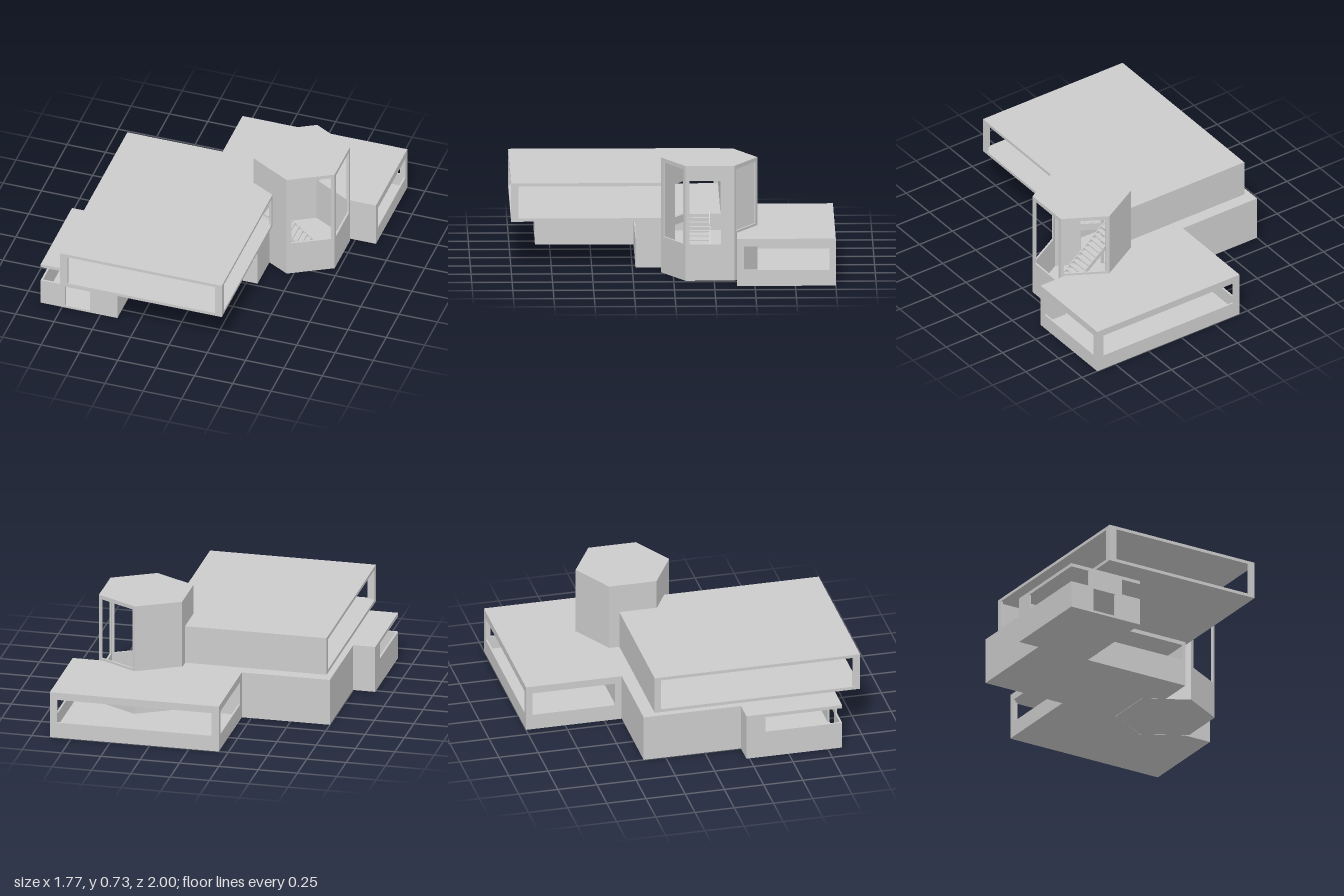
import * as THREE from 'three';

const mat = new THREE.MeshStandardMaterial({ color: 0xcccccc, flatShading: true, side: THREE.DoubleSide });

function add(parent, name, geometry) {
  const mesh = new THREE.Mesh(geometry, mat);
  mesh.name = name;
  parent.add(mesh);
  return mesh;
}

// Horizontal slab from an [x, z] outline, between two heights
function slab(parent, name, outline, y0, y1) {
  const shape = new THREE.Shape(outline.map(([x, z]) => new THREE.Vector2(x, -z)));
  const geo = new THREE.ExtrudeGeometry(shape, { depth: y1 - y0, bevelEnabled: false });
  add(parent, name, geo.rotateX(-Math.PI / 2).translate(0, y0, 0));
}

// Wall whose outer face runs from a to b; holes are [u0, u1, y0, y1], u measured from a
function wall(parent, name, a, b, y0, y1, holes = [], t = 0.012) {
  const dx = b[0] - a[0], dz = b[1] - a[1];
  const rect = (S, u0, u1, v0, v1) => new S([[u0, v0], [u1, v0], [u1, v1], [u0, v1]].map((p) => new THREE.Vector2(...p)));
  const shape = rect(THREE.Shape, 0, Math.hypot(dx, dz), y0, y1);
  shape.holes = holes.map((h) => rect(THREE.Path, ...h));
  const geo = new THREE.ExtrudeGeometry(shape, { depth: t, bevelEnabled: false }).translate(0, 0, -t);
  const mesh = add(parent, name, geo);
  mesh.position.set(a[0], 0, a[1]);
  mesh.rotation.y = Math.atan2(-dz, dx);
}

function part(root, name) {
  const g = new THREE.Group();
  g.name = name;
  root.add(g);
  return g;
}

export function createModel() {
  const root = new THREE.Group();
  root.name = 'house';

  // Ground floor main room
  const main = part(root, 'groundFloor');
  const mainPlan = [[-0.75, 0.23], [0.32, 0.23], [0.32, 0], [0.19, -0.07], [0.19, -0.39], [-0.75, -0.39]];
  slab(main, 'groundFloorBase', mainPlan, 0, 0.015);
  slab(main, 'groundFloorRoof', mainPlan, 0.275, 0.297);
  wall(main, 'frontWall', [-0.39, 0.23], [0.32, 0.23], 0, 0.297, [[0.045, 0.69, 0.172, 0.272]]);
  wall(main, 'innerFrontWall', [-0.75, 0.23], [-0.67, 0.23], 0, 0.297);
  wall(main, 'rightWall', [0.32, 0.23], [0.32, 0], 0, 0.297);
  wall(main, 'backWall', [0.22, -0.39], [-0.75, -0.39], 0, 0.297);
  wall(main, 'leftWall', [-0.75, -0.39], [-0.75, 0.23], 0, 0.297);

  // Entrance wing: low walls, open corner windows, roof slab
  const entry = part(root, 'entranceWing');
  const entryPlan = [[-0.89, 0.84], [-0.39, 0.84], [-0.39, 0.23], [-0.89, 0.23]];
  slab(entry, 'entranceBase', entryPlan, 0, 0.015);
  slab(entry, 'entranceRoof', entryPlan, 0.275, 0.297);
  wall(entry, 'entranceFront', [-0.89, 0.84], [-0.39, 0.84], 0, 0.174, [[0.16, 0.32, 0.015, 0.162]]);
  wall(entry, 'entrancePier', [-0.76, 0.84], [-0.52, 0.84], 0.174, 0.275);
  for (const [name, x, dir] of [['Right', -0.39, 1], ['Left', -0.89, -1]]) {
    const run = (z0, z1) => (dir > 0 ? [[x, z0], [x, z1]] : [[x, z1], [x, z0]]);
    wall(entry, 'entranceLow' + name, ...run(0.84, 0.23), 0, 0.174);
    wall(entry, 'entranceHigh' + name, ...run(0.35, 0.23), 0.174, 0.275);
  }
  wall(entry, 'entranceBack', [-0.75, 0.23], [-0.89, 0.23], 0, 0.297);

  // Overhanging upper storey with ribbon windows on three sides
  const upper = part(root, 'upperFloor');
  const upperPlan = [[-0.71, 1], [0.345, 1], [0.345, 0.014], [0.19, -0.07], [0.19, -0.31], [-0.71, -0.31]];
  slab(upper, 'upperBase', upperPlan, 0.298, 0.318);
  slab(upper, 'upperRoof', upperPlan, 0.52, 0.54);
  wall(upper, 'upperFront', [-0.71, 1], [0.345, 1], 0.298, 0.54, [[0.05, 1.01, 0.318, 0.52]]);
  wall(upper, 'upperRight', [0.345, 1], [0.345, 0.014], 0.298, 0.54, [[0.045, 0.965, 0.318, 0.52]]);
  wall(upper, 'upperBack', [0.19, -0.31], [-0.71, -0.31], 0.298, 0.54);
  wall(upper, 'upperLeft', [-0.71, -0.31], [-0.71, 1], 0.298, 0.54, [[0.04, 1.265, 0.318, 0.52]]);

  // Rear wing with windows on three sides
  const rear = part(root, 'rearWing');
  const rearPlan = [[-0.19, -1], [0.885, -1], [0.885, -0.39], [0.7, -0.39], [0.46, -0.525], [0.22, -0.39], [-0.19, -0.39]];
  slab(rear, 'rearBase', rearPlan, 0, 0.015);
  slab(rear, 'rearRoof', rearPlan, 0.25, 0.297);
  wall(rear, 'rearRight', [0.885, -0.39], [0.885, -1], 0, 0.297, [[0.043, 0.57, 0.1, 0.25]]);
  wall(rear, 'rearBack', [0.885, -1], [-0.19, -1], 0, 0.297, [[0.045, 1.03, 0.1, 0.25]]);
  wall(rear, 'rearLeft', [-0.19, -1], [-0.19, -0.39], 0, 0.297, [[0.04, 0.567, 0.1, 0.25]]);
  wall(rear, 'rearFront', [0.7, -0.39], [0.885, -0.39], 0, 0.297);

  // Six-sided stair tower: tall windows outside, doorways inside
  const tower = part(root, 'stairTower');
  const hex = [[0.458, 0.075], [0.722, -0.072], [0.722, -0.375], [0.458, -0.522], [0.193, -0.375], [0.193, -0.072]];
  slab(tower, 'towerBase', hex, 0, 0.015);
  slab(tower, 'towerRoof', hex, 0.7, 0.725);
  const openings = [
    [[0.03, 0.28, 0.23, 0.7]],
    [[0.025, 0.28, 0.23, 0.7]],
    [[0.02, 0.28, 0.31, 0.7]],
    [],
    [[0.075, 0.29, 0.015, 0.27], [0.075, 0.29, 0.318, 0.53]],
    [[0.015, 0.14, 0.015, 0.27], [0.015, 0.14, 0.318, 0.53]],
  ];
  hex.forEach((p, i) => wall(tower, 'towerWall', p, hex[(i + 1) % 6], 0, 0.724, openings[i]));

  // Straight stair climbing toward the upper storey
  const stair = part(root, 'staircase');
  const steps = 14, x0 = 0.57, x1 = 0.2, rise = 0.305;
  for (let i = 0; i < steps; i++) {
    const f = (i + 0.5) / steps;
    add(stair, 'step', new THREE.BoxGeometry(0.03, 0.007, 0.126))
      .position.set(x0 + (x1 - x0) * f, 0.015 + rise * (i + 1) / steps - 0.004, -0.165);
  }
  for (const z of [-0.1, -0.23]) {
    const side = add(stair, 'stringer', new THREE.BoxGeometry(Math.hypot(x1 - x0, rise), 0.025, 0.006));
    side.position.set((x0 + x1) / 2, 0.015 + rise / 2, z);
    side.rotation.z = Math.atan2(rise, x1 - x0) + Math.PI;
  }
  return root;
}
